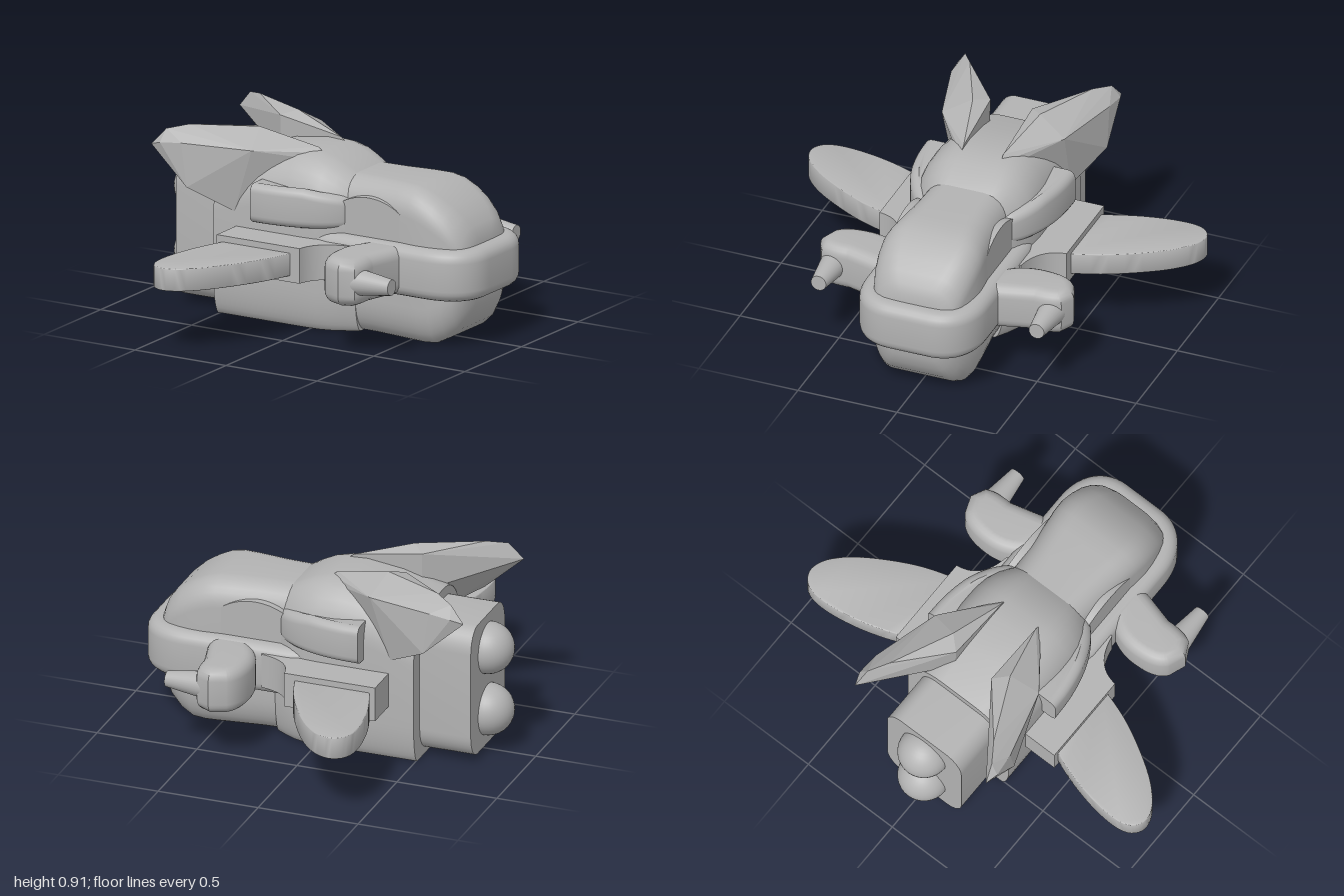
import * as THREE from 'three';
import { toCreasedNormals } from 'three/addons/utils/BufferGeometryUtils.js';
import { ConvexGeometry } from 'three/addons/geometries/ConvexGeometry.js';

const CREASE = 0.6;
const smooth = (g) => toCreasedNormals(g, CREASE);

// Closed cross-section in the zy plane with elliptical corners
function section({ y0, y1, hw, top, bot }) {
  const pts = [];
  const n = 8;
  const corner = (sz, sy, [rz, ry], from) => {
    const cz = sz * (hw - rz), cy = sy > 0 ? y1 - ry : y0 + ry;
    for (let i = 0; i <= n; i++) {
      const a = from + (i / n) * Math.PI / 2;
      pts.push([cz + rz * Math.cos(a), cy + ry * Math.sin(a)]);
    }
  };
  corner(1, 1, top, 0);
  corner(-1, 1, top, Math.PI / 2);
  corner(-1, -1, bot, Math.PI);
  corner(1, -1, bot, Math.PI * 1.5);
  return pts;
}

// Skin a row of sections along x and close both ends
function loft(stations) {
  const pos = [], index = [];
  const rings = stations.map(section);
  const m = rings[0].length;
  rings.forEach((r, i) => r.forEach(([z, y]) => pos.push(stations[i].x, y, z)));
  for (let i = 0; i < rings.length - 1; i++) {
    for (let j = 0; j < m; j++) {
      const a = i * m + j, b = i * m + (j + 1) % m;
      index.push(a, a + m, b, b, a + m, b + m);
    }
  }
  const last = (rings.length - 1) * m;
  for (let j = 1; j < m - 1; j++) {
    index.push(0, j, j + 1, last, last + j + 1, last + j);
  }
  const g = new THREE.BufferGeometry();
  g.setAttribute('position', new THREE.Float32BufferAttribute(pos, 3));
  g.setIndex(index);
  return smooth(g);
}

// Plan outline (x, z) extruded between heights y0 and y1, with rounded edges
function slab(shape, y0, y1, bevel = 0) {
  const g = new THREE.ExtrudeGeometry(shape, {
    depth: y1 - y0 - 2 * bevel, curveSegments: 16,
    bevelEnabled: bevel > 0, bevelSize: bevel, bevelThickness: bevel,
    bevelOffset: -bevel, bevelSegments: 5,
  });
  g.rotateX(Math.PI / 2).translate(0, y1 - bevel, 0);
  return smooth(g);
}

// Mirror a part to the other side of z = 0, keeping the faces outward
function mirrorZ(geometry) {
  const g = geometry.index ? geometry.toNonIndexed() : geometry.clone();
  g.scale(1, 1, -1);
  for (const name of ['position', 'normal']) {
    const a = g.attributes[name];
    for (let i = 0; i < a.count; i += 3) {
      const p = [a.getX(i + 1), a.getY(i + 1), a.getZ(i + 1)];
      a.setXYZ(i + 1, a.getX(i + 2), a.getY(i + 2), a.getZ(i + 2));
      a.setXYZ(i + 2, ...p);
    }
  }
  return g;
}

const splineShape = (pts) =>
  new THREE.Shape(new THREE.SplineCurve(pts.map((p) => new THREE.Vector2(...p))).getPoints(48));

export function createModel() {
  const model = new THREE.Group();
  const grey = new THREE.MeshStandardMaterial({ color: 0xb3b3b3 });
  grey.name = 'hull grey';

  const add = (name, g) => {
    const mesh = new THREE.Mesh(g, grey);
    mesh.name = name;
    model.add(mesh);
    return mesh;
  };
  // The nose points along +x, so one of each pair sits at +z and one at -z
  const addPair = (name, g) => {
    add(name + 'Near', g);
    add(name + 'Far', mirrorZ(g));
  };

  // Front hull with rounded nose: x, bottom, top, half width
  add('frontHull', loft([
    [0.05, 0, 0.745, 0.21], [0.17, 0, 0.745, 0.212], [0.3, 0, 0.745, 0.218],
    [0.44, 0, 0.745, 0.235], [0.52, 0, 0.742, 0.245], [0.58, 0, 0.728, 0.25],
    [0.64, 0.004, 0.7, 0.246], [0.7, 0.035, 0.662, 0.236], [0.75, 0.08, 0.617, 0.22],
    [0.785, 0.135, 0.57, 0.2], [0.805, 0.19, 0.53, 0.175], [0.812, 0.25, 0.48, 0.15],
  ].map(([x, y0, y1, hw]) => ({
    x, y0, y1, hw, top: [0.12, Math.min(0.13, (y1 - y0) / 2.2)], bot: [0.09, Math.min(0.18, (y1 - y0) / 2.2)],
  }))));

  // Broad rear hull
  add('rearHull', loft([
    [-0.505, 0.74, 0.3], [-0.3, 0.8, 0.3], [-0.12, 0.825, 0.3], [-0.02, 0.82, 0.3],
    [0.05, 0.803, 0.295], [0.11, 0.775, 0.278], [0.165, 0.745, 0.25], [0.22, 0.7, 0.215],
  ].map(([x, y1, hw]) => ({ x, y0: 0, y1, hw, top: [hw - 0.1, 0.24], bot: [0.05, 0.2] }))));

  // Engine block with two round exhausts
  const block = { y0: 0.03, y1: 0.69, hw: 0.22, top: [0.09, 0.12], bot: [0.09, 0.12] };
  add('engineBlock', loft([{ x: -0.76, ...block }, { x: -0.45, ...block }]));
  for (const y of [0.205, 0.52]) {
    add('exhaust', new THREE.SphereGeometry(0.125, 32, 20)).position.set(-0.762, y, 0);
  }

  // Bumper ring wrapped round the nose
  const ring = new THREE.Shape();
  ring.moveTo(0, -0.28);
  ring.lineTo(0.12, -0.31);
  ring.lineTo(0.64, -0.31);
  ring.bezierCurveTo(0.8, -0.31, 0.885, -0.22, 0.885, -0.1);
  ring.lineTo(0.885, 0.1);
  ring.bezierCurveTo(0.885, 0.22, 0.8, 0.31, 0.64, 0.31);
  ring.lineTo(0.12, 0.31);
  ring.lineTo(0, 0.28);
  add('noseRing', slab(ring, 0.24, 0.485, 0.055));

  // Half-round side windows
  const arch = new THREE.Shape();
  arch.absellipse(0.31, 0.47, 0.25, 0.205, 0, Math.PI, false, 0);
  const archGeo = new THREE.ExtrudeGeometry(arch, { depth: 0.48, bevelEnabled: false, curveSegments: 32 });
  add('sideWindows', smooth(archGeo.translate(0, 0, -0.24)));

  // Shoulder intakes
  const shoulder = new THREE.Shape();
  shoulder.moveTo(-0.255, 0.15);
  shoulder.lineTo(0.22, 0.15);
  shoulder.lineTo(0.185, 0.235);
  shoulder.bezierCurveTo(0.1, 0.33, -0.05, 0.38, -0.255, 0.38);
  const shoulderGeo = slab(shoulder, 0.5, 0.69, 0.04);
  // Square off the open rear face and slope the top towards the nose
  const sp = shoulderGeo.attributes.position;
  for (let i = 0; i < sp.count; i++) {
    const x = sp.getX(i), y = sp.getY(i);
    if (x < -0.212) sp.setX(i, -0.255);
    if (y > 0.6 && x > 0) sp.setY(i, y - x * 0.2);
  }
  addPair('shoulder', smooth(shoulderGeo));

  // Wing mount with a concave leading edge
  const mount = new THREE.Shape();
  mount.moveTo(-0.38, 0.2);
  mount.lineTo(0.3, 0.2);
  mount.lineTo(0.25, 0.315);
  mount.quadraticCurveTo(0.09, 0.34, 0.075, 0.472);
  mount.lineTo(-0.38, 0.472);
  addPair('wingMount', slab(mount, 0.28, 0.45));

  // Rounded side wings
  const wing = splineShape([
    [-0.33, 0.42], [-0.375, 0.53], [-0.415, 0.66], [-0.44, 0.8], [-0.44, 0.91], [-0.41, 0.975],
    [-0.35, 1], [-0.27, 0.97], [-0.18, 0.88], [-0.09, 0.74], [-0.02, 0.6], [0.03, 0.45], [0.03, 0.42],
  ]);
  addPair('wing', slab(wing, 0.31, 0.42, 0.006));

  // Gun pods with tapered barrels
  const pod = new THREE.Shape();
  pod.moveTo(0.3, 0.22);
  pod.lineTo(0.53, 0.22);
  pod.lineTo(0.52, 0.32);
  pod.lineTo(0.48, 0.47);
  pod.quadraticCurveTo(0.485, 0.56, 0.46, 0.605);
  pod.lineTo(0.39, 0.64);
  pod.lineTo(0.31, 0.61);
  pod.quadraticCurveTo(0.25, 0.57, 0.25, 0.44);
  pod.quadraticCurveTo(0.25, 0.35, 0.3, 0.28);
  addPair('gunPod', slab(pod, 0.25, 0.477, 0.055));
  const barrel = new THREE.CylinderGeometry(0.038, 0.068, 0.21, 32);
  addPair('gunBarrel', barrel.rotateZ(-Math.PI / 2).translate(0.525, 0.363, 0.55));

  // Faceted upper fins
  const fin = [
    [-0.79, 0.81, 0.39], [-0.72, 0.89, 0.37], [-0.63, 0.91, 0.31], [-0.33, 0.91, 0.17],
    [-0.39, 0.89, 0.105], [-0.05, 0.835, 0.1], [-0.02, 0.81, 0.1], [-0.05, 0.78, 0.13],
    [-0.73, 0.83, 0.41], [-0.62, 0.84, 0.4], [-0.29, 0.83, 0.31],
    [-0.59, 0.63, 0.4], [-0.39, 0.52, 0.3], [-0.39, 0.7, 0.11],
  ].map((p) => new THREE.Vector3(...p));
  addPair('fin', new ConvexGeometry(fin));

  return model;
}
